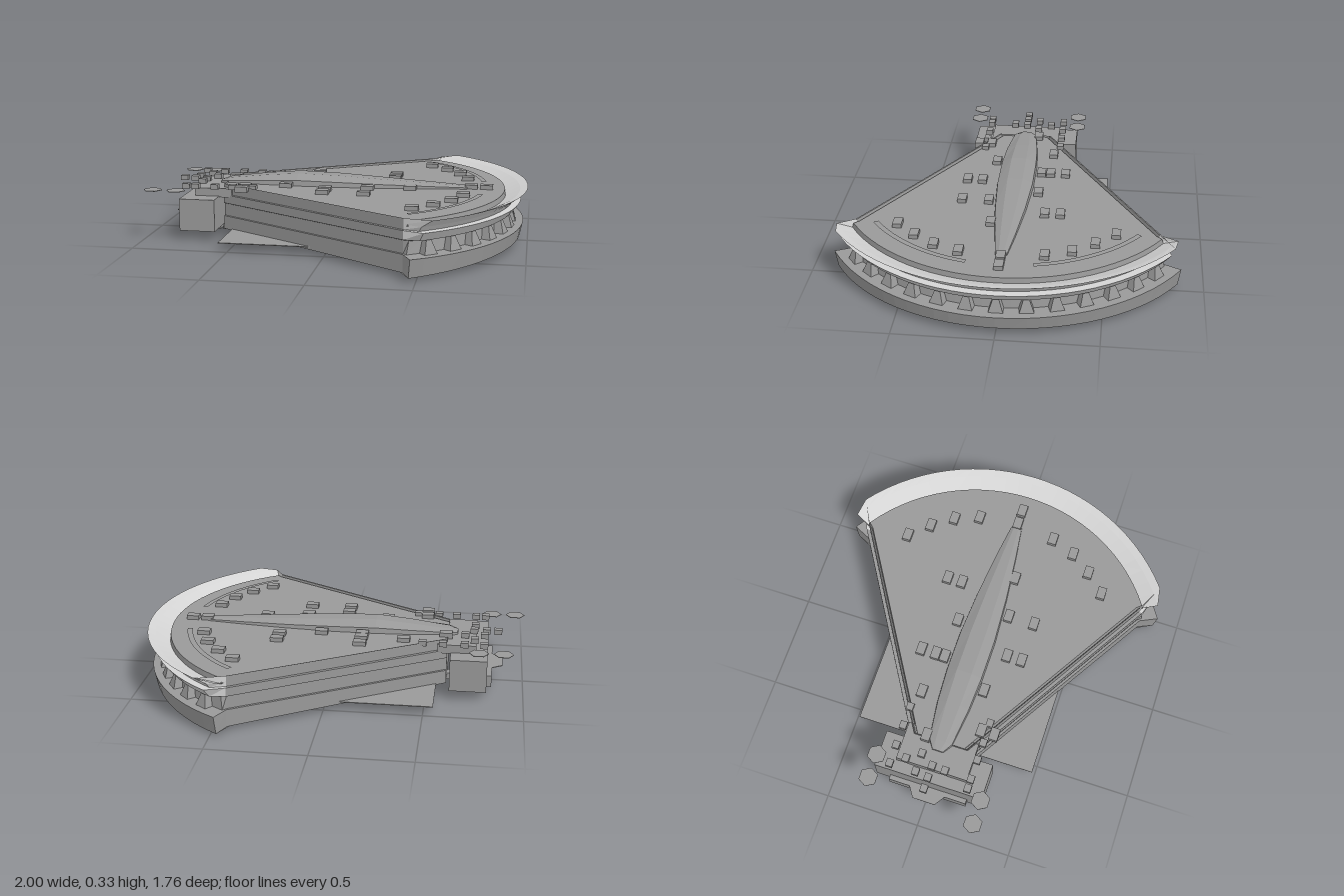
import * as THREE from 'three';

const material = (name, color) => {
  const m = new THREE.MeshStandardMaterial({ color });
  m.name = name;
  return m;
};
const grey = material('concreteGrey', 0x999999);
const pale = material('paleCladding', 0xd4d4d4);

const CX = -0.05; // centre of the curved facade
const STEPS = 28;

function faceted(geo) {
  const out = geo.index ? geo.toNonIndexed() : geo;
  out.computeVertexNormals();
  return out;
}

// joins closed loops of equal length where pick(row, segment) allows, with optional end caps
function loft(loops, pick, caps) {
  const n = loops[0].length, pos = loops.flat(2), idx = [];
  for (let k = 0; k < loops.length - 1; k++) {
    for (let i = 0; i < n; i++) {
      if (!pick(k, i)) continue;
      const j = (i + 1) % n, a = k * n, b = a + n;
      idx.push(a + i, a + j, b + j, a + i, b + j, b + i);
    }
  }
  if (caps) {
    const c = loops.length * n, top = c - n;
    pos.push(...caps.flat());
    for (let i = 0; i < n; i++) {
      const j = (i + 1) % n;
      idx.push(c, j, i, c + 1, top + i, top + j);
    }
  }
  const g = new THREE.BufferGeometry();
  g.setAttribute('position', new THREE.Float32BufferAttribute(pos, 3));
  g.setIndex(idx);
  return faceted(g);
}

// fan-shaped outline: arc radius, half angle, side inset, height
function fanLoop([r, deg, inset, y], droop) {
  const a = THREE.MathUtils.degToRad(deg), sy = Math.min(y, 0.28);
  const pts = [[-0.6, sy, 0.165 - inset], [0.43, sy, 0.79 - inset]];
  for (let i = 0; i <= STEPS; i++) {
    const t = a - (2 * a * i) / STEPS;
    pts.push([CX + r * Math.cos(t), y, r * Math.sin(t)]);
  }
  pts.push([0.43, sy, -0.79 + inset], [-0.6, sy, -0.165 + inset]);
  pts.forEach(p => { p[1] -= droop * (p[2] / 0.88) ** 2; });
  return pts;
}

export function createModel() {
  const model = new THREE.Group();
  const add = (name, geo, x = 0, y = 0, z = 0, parent = model, mat = grey) => {
    const m = new THREE.Mesh(geo, mat);
    m.name = name;
    m.position.set(x, y, z);
    parent.add(m);
    return m;
  };
  const group = name => {
    const g = new THREE.Group();
    g.name = name;
    model.add(g);
    return g;
  };
  const box = (name, x0, x1, y0, y1, z0, z1, parent) =>
    add(name, new THREE.BoxGeometry(x1 - x0, y1 - y0, z1 - z0),
      (x0 + x1) / 2, (y0 + y1) / 2, (z0 + z1) / 2, parent);

  // stepped hall; its two flaring tiers on the curved side are pale
  const profile = [
    [1.01, 59.3, 0, 0.04], [1.025, 59.3, 0, 0.11], [0.94, 58, 0.015, 0.11],
    [0.93, 57, 0.015, 0.175], [0.975, 55, 0, 0.18], [1.01, 55, 0, 0.225],
    [0.97, 55, 0.02, 0.225], [0.99, 55, 0.02, 0.25], [1.045, 53.5, 0.02, 0.29],
    [1.005, 58.5, 0.025, 0.277], [0.93, 57.5, 0.035, 0.243], [0.925, 57, 0.04, 0.27],
  ];
  const loops = profile.map((p, i) => fanLoop(p, i === 0 ? 0.024 : 0));
  const isFlare = (k, i) => k >= 4 && k <= 9 && i >= 1 && i <= STEPS + 2;
  add('hall', loft(loops, (k, i) => !isFlare(k, i), [[0, 0.04, 0], [0, 0.27, 0]]));
  add('flaringTiers', loft(loops, isFlare), 0, 0, 0, model, pale);

  // tapered ribs in the recessed band
  const ribs = group('facadeRibs');
  for (let i = -6; i <= 6; i++) {
    const t = THREE.MathUtils.degToRad(i * 8.6);
    const geo = new THREE.CylinderGeometry(0.018, 0.05, 0.07, 4);
    geo.rotateY(Math.PI / 4);
    const rib = add('rib', faceted(geo), CX + 0.95 * Math.cos(t), 0.145,
      0.95 * Math.sin(t), ribs);
    rib.rotation.y = -t;
  }

  // shallow curved steps on the roof
  for (const start of [0.2, -0.94]) {
    const geo = new THREE.RingGeometry(0.81, 0.838, 16, 1, start, 0.74);
    geo.rotateX(-Math.PI / 2);
    add('roofStep', geo, CX, 0.276, 0);
  }

  // tapering spine along the roof: x, half width, crest height
  const stations = [
    [-0.65, 0.03, 0.275], [-0.6, 0.065, 0.29], [-0.4, 0.09, 0.313], [-0.22, 0.1, 0.328],
    [0, 0.1, 0.322], [0.25, 0.083, 0.308], [0.5, 0.055, 0.295], [0.68, 0.03, 0.285],
  ];
  add('roofSpine', loft(stations.map(([x, w, h]) => {
    const shoulder = (0.27 + h) / 2;
    return [
      [x, 0.255, w], [x, 0.255, -w], [x, shoulder, -0.93 * w],
      [x, h, -0.4 * w], [x, h, 0.4 * w], [x, shoulder, 0.93 * w],
    ];
  }), () => true, [[-0.65, 0.265, 0], [0.68, 0.27, 0]]));

  // entrance block at the narrow end
  box('entranceBlock', -0.81, -0.62, 0.05, 0.22, -0.29, 0.29);
  box('entranceRoof', -0.75, -0.55, 0.215, 0.262, -0.19, 0.19);
  for (const s of [1, -1]) {
    box('entrancePorch', -0.835, -0.8, 0.05, 0.11,
      Math.min(s * 0.09, s * 0.21), Math.max(s * 0.09, s * 0.21));
  }
  const sill = new THREE.Shape([
    [-0.89, 0.06], [-0.89, -0.06], [-0.83, -0.1], [-0.8, -0.1], [-0.8, 0.1], [-0.83, 0.1],
  ].map(p => new THREE.Vector2(...p)));
  const sillGeo = new THREE.ExtrudeGeometry(sill, { depth: 0.004, bevelEnabled: false });
  sillGeo.rotateX(-Math.PI / 2);
  add('entranceSill', sillGeo, 0, 0.106, 0);

  // low forecourt sheet
  box('forecourt', -0.55, 0, 0.041, 0.045, -0.485, 0.485);

  // rooftop units
  const units = group('roofUnits');
  const large = [
    [-0.155, -0.26], [-0.155, -0.18], [-0.155, -0.13], [-0.375, -0.18], [0.06, -0.13],
    [0.275, -0.26], [0.275, -0.18], [0.70, 0], [0.78, 0], [-0.05, 0.18], [-0.05, 0.26],
    [0.165, 0.26], [0.165, 0.12], [0.385, 0.085], [-0.27, 0.125], [-0.48, 0.18],
    [-0.48, 0.25], [-0.59, -0.08],
  ];
  for (const s of [1, -1]) {
    large.push([0.445, s * 0.55], [0.54, s * 0.45], [0.62, s * 0.34], [0.67, s * 0.21]);
  }
  for (const [x, z] of large) {
    box('roofUnit', x - 0.033, x + 0.033, 0.262, 0.292, z - 0.023, z + 0.023, units);
  }
  const small = [
    [-0.79, -0.21], [-0.69, -0.21], [-0.58, -0.21], [-0.475, -0.21], [-0.79, -0.07],
    [-0.69, -0.07], [-0.86, 0], [-0.8, 0], [-0.735, 0], [-0.74, 0.07], [-0.74, -0.14],
    [-0.79, 0.21], [-0.74, 0.21], [-0.635, 0.21], [-0.54, 0.21], [-0.43, 0.21],
  ];
  for (const [x, z] of small) {
    box('smallUnit', x - 0.02, x + 0.02, 0.264, 0.29, z - 0.018, z + 0.018, units);
  }

  // thin hexagonal panels beside the entrance
  for (const [x, z] of [[-0.89, -0.29], [-0.765, -0.29], [-0.95, 0.29], [-0.825, 0.29]]) {
    const geo = new THREE.CylinderGeometry(0.05, 0.05, 0.003, 6);
    geo.rotateY(Math.PI / 2);
    add('hexPanel', faceted(geo), x, 0.265, z);
  }

  // row of foundation blocks under the entrance
  const blocks = group('foundationBlocks');
  for (let i = 0; i < 10; i++) {
    const x = -0.807 + i * 0.062;
    box('foundationBlock', x - 0.023, x + 0.023, 0, 0.036, -0.026, 0.026, blocks);
  }
  return model;
}
